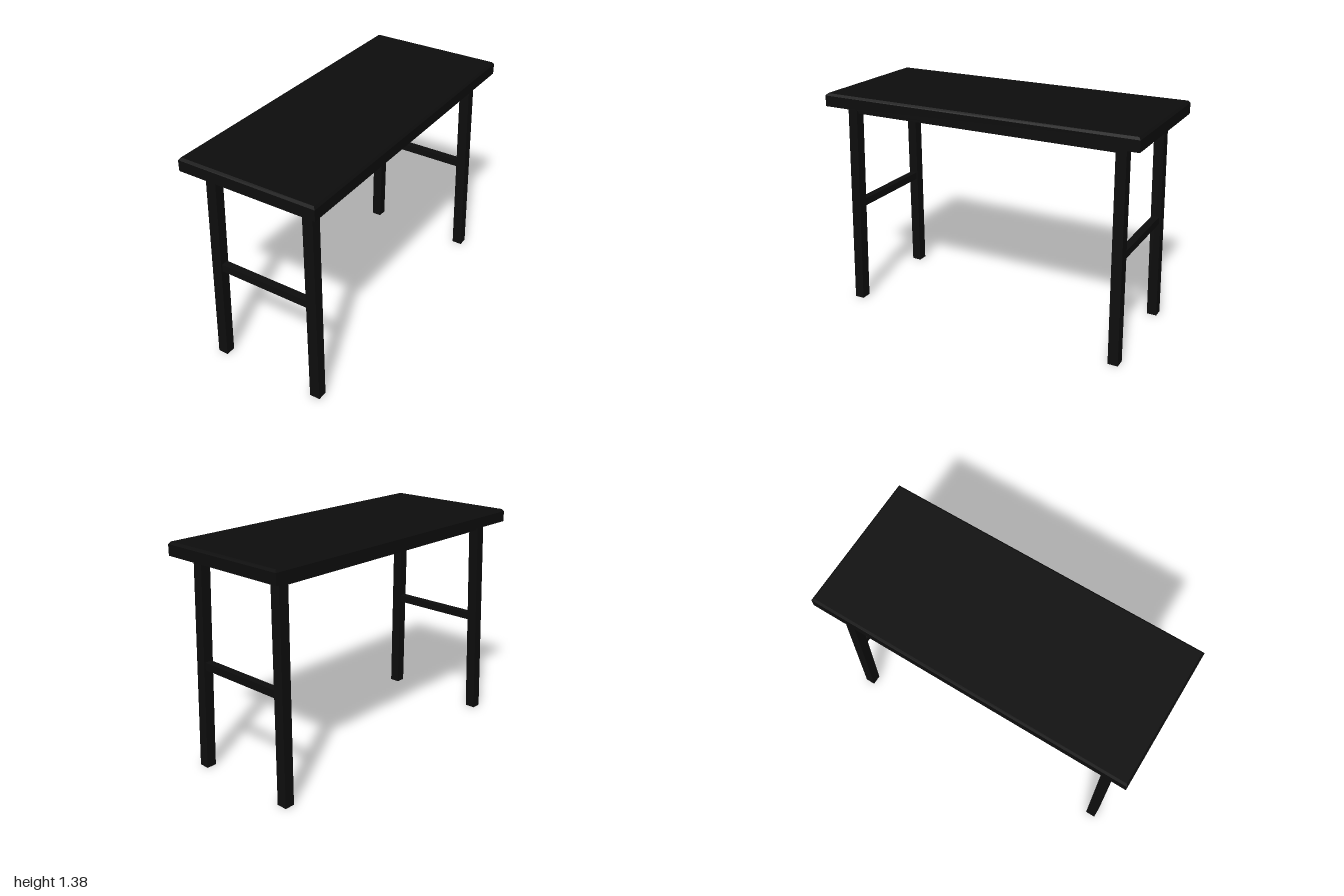
import * as THREE from 'three';

// Box whose vertices are moved by a rule, with flat normals afterwards
function shapedBox(w, h, d, rows, rule) {
  const box = new THREE.BoxGeometry(w, h, d, 1, rows, 1);
  const p = box.attributes.position;
  const v = new THREE.Vector3();
  for (let i = 0; i < p.count; i++) {
    v.fromBufferAttribute(p, i);
    rule(v);
    p.setXYZ(i, v.x, v.y, v.z);
  }
  const flat = box.toNonIndexed();
  flat.computeVertexNormals();
  return flat;
}

export function createModel() {
  const model = new THREE.Group();
  model.name = 'table';
  const blackWood = new THREE.MeshStandardMaterial({ color: 0x0d0d0d });
  blackWood.name = 'blackWood';

  const add = (name, geometry, x, y, z) => {
    const mesh = new THREE.Mesh(geometry, blackWood);
    mesh.name = name;
    mesh.position.set(x, y, z);
    model.add(mesh);
  };

  // Table top with a small chamfer around its upper edge
  const top = shapedBox(0.866, 0.08, 2, 2, (v) => {
    if (v.y > 0.03) {
      v.x -= Math.sign(v.x) * 0.012;
      v.z -= Math.sign(v.z) * 0.012;
    } else if (v.y > -0.03) {
      v.y = 0.026;
    }
  });
  add('tableTop', top, 0, 1.34, 0);

  // Apron under the top
  add('apron', new THREE.BoxGeometry(0.664, 0.05, 1.77), 0, 1.275, 0);

  for (const sz of [1, -1]) {
    // Splayed legs, leaning inwards towards the top
    for (const sx of [1, -1]) {
      const leg = shapedBox(0.065, 1.3, 0.062, 1, (v) => {
        if (v.y > 0) {
          v.x -= sx * 0.027;
          v.z -= sz * 0.025;
        }
      });
      const name = (sz > 0 ? 'front' : 'back') + (sx > 0 ? 'Left' : 'Right') + 'Leg';
      add(name, leg, sx * 0.34, 0.65, sz * 0.894);
    }
    // Stretcher joining each pair of legs
    add(sz > 0 ? 'frontStretcher' : 'backStretcher',
      new THREE.BoxGeometry(0.62, 0.047, 0.045), 0, 0.653, sz * 0.881);
  }
  return model;
}
